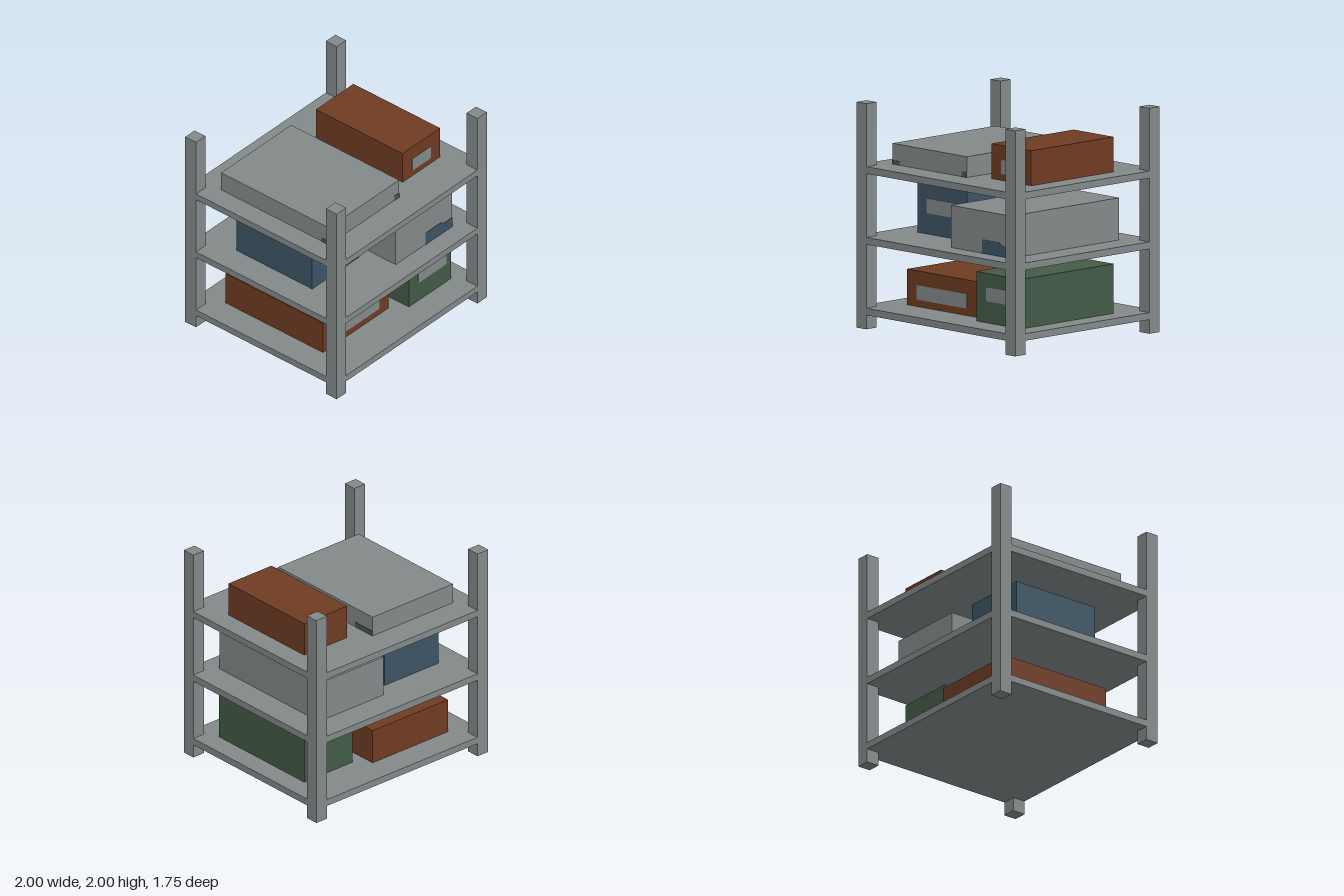
import * as THREE from 'three';

const material = (name, color) => new THREE.MeshStandardMaterial({ name, color });

export function createModel() {
  const grey = material('steelGrey', 0x838989);
  const rust = material('rustBrown', 0x6f3b22);
  const blue = material('slateBlue', 0x3c5466);
  const green = material('mossGreen', 0x435b47);
  const model = new THREE.Group();
  model.name = 'storageShelf';

  const add = (parent, name, geometry, mat) => {
    const mesh = new THREE.Mesh(geometry, mat);
    mesh.name = name;
    parent.add(mesh);
    return mesh;
  };

  // Block given by its lower and upper limits on each axis
  const block = (parent, name, mat, [x0, x1], [y0, y1], [z0, z1]) => {
    const mesh = add(parent, name, new THREE.BoxGeometry(x1 - x0, y1 - y0, z1 - z0), mat);
    mesh.position.set((x0 + x1) / 2, (y0 + y1) / 2, (z0 + z1) / 2);
    return mesh;
  };

  // Thin painted plate on a front face at depth z
  const plate = (parent, name, mat, shape, z) => {
    const geometry = new THREE.ExtrudeGeometry(shape, { depth: 0.004, bevelEnabled: false, curveSegments: 4 });
    add(parent, name, geometry, mat).position.z = z;
  };

  const roundedRect = ([x0, x1], [y0, y1], r = 0.015) => {
    const s = new THREE.Shape();
    s.absarc(x1 - r, y0 + r, r, -Math.PI / 2, 0);
    s.absarc(x1 - r, y1 - r, r, 0, Math.PI / 2);
    s.absarc(x0 + r, y1 - r, r, Math.PI / 2, Math.PI);
    s.absarc(x0 + r, y0 + r, r, Math.PI, Math.PI * 1.5);
    s.closePath();
    return s;
  };

  // Four corner posts
  for (const sx of [-1, 1]) {
    for (const sz of [-1, 1]) {
      const post = add(model, 'post', new THREE.BoxGeometry(0.125, 2, 0.125), grey);
      post.position.set(sx * 0.9375, 1, sz * 0.8125);
    }
  }

  // Three shelf boards, flush with the posts
  const boards = [0.125, 0.7525, 1.38];
  const floors = boards.map((y) => y + 0.0625);
  boards.forEach((y, i) => block(model, 'shelfBoard', grey, [-1, 1], [y, floors[i]], [-0.875, 0.875]));

  // Storage boxes: shelf, x limits, top, z limits, optional label limits
  const boxes = [
    { name: 'lowBrownBox', mat: rust, shelf: 0, x: [-0.75, 0.125], top: 0.505, z: [-0.625, 0.5], label: [[-0.63, 0], [0.25, 0.38]] },
    { name: 'greenBox', mat: green, shelf: 0, x: [0.25, 0.81], top: 0.627, z: [-0.5, 0.625], label: [[0.375, 0.75], [0.38, 0.505]] },
    { name: 'blueBox', mat: blue, shelf: 1, x: [-0.75, -0.125], top: 1.255, z: [-0.5, 0.375], label: [[-0.63, -0.25], [1.0, 1.13]] },
    { name: 'greyBox', mat: grey, shelf: 1, x: [0, 0.75], top: 1.19, z: [-0.625, 0.69] },
    { name: 'flatGreyBox', mat: grey, shelf: 2, x: [-0.81, 0.125], top: 1.627, z: [-0.625, 0.62] },
    { name: 'topBrownBox', mat: rust, shelf: 2, x: [0.31, 0.81], top: 1.753, z: [-0.5, 0.5], label: [[0.435, 0.688], [1.5, 1.627]] },
  ];
  const groups = {};
  for (const b of boxes) {
    const group = groups[b.name] = new THREE.Group();
    group.name = b.name;
    model.add(group);
    block(group, 'boxBody', b.mat, b.x, [floors[b.shelf], b.top], b.z);
    if (b.label) plate(group, 'boxLabel', grey, roundedRect(...b.label), b.z[1]);
  }

  // Blue patch on the grey box, with a step in its upper edge
  const patch = new THREE.Shape();
  patch.moveTo(0.395, floors[1]);
  patch.lineTo(0.75, floors[1]);
  patch.lineTo(0.75, 0.912);
  patch.lineTo(0.65, 0.912);
  patch.quadraticCurveTo(0.615, 0.915, 0.61, 0.938);
  patch.lineTo(0.395, 0.938);
  patch.closePath();
  plate(groups.greyBox, 'bluePatch', blue, patch, 0.69);

  // Green patches round the foot of the flat box
  const flat = groups.flatGreyBox;
  const y = floors[2];
  const corner = new THREE.Shape();
  corner.moveTo(-0.81, y);
  corner.lineTo(-0.72, y);
  corner.lineTo(-0.72, y + 0.022);
  corner.quadraticCurveTo(-0.72, y + 0.036, -0.735, y + 0.036);
  corner.lineTo(-0.81, y + 0.036);
  corner.closePath();
  plate(flat, 'frontLeftPatch', green, corner, 0.62);
  block(flat, 'frontRightPatch', green, [0.063, 0.125], [y, y + 0.047], [0.62, 0.624]);
  block(flat, 'outerSidePatch', green, [-0.814, -0.81], [y, y + 0.036], [0.54, 0.62]);
  block(flat, 'innerSidePatch', green, [0.125, 0.129], [y, y + 0.047], [-0.625, -0.4]);

  return model;
}
